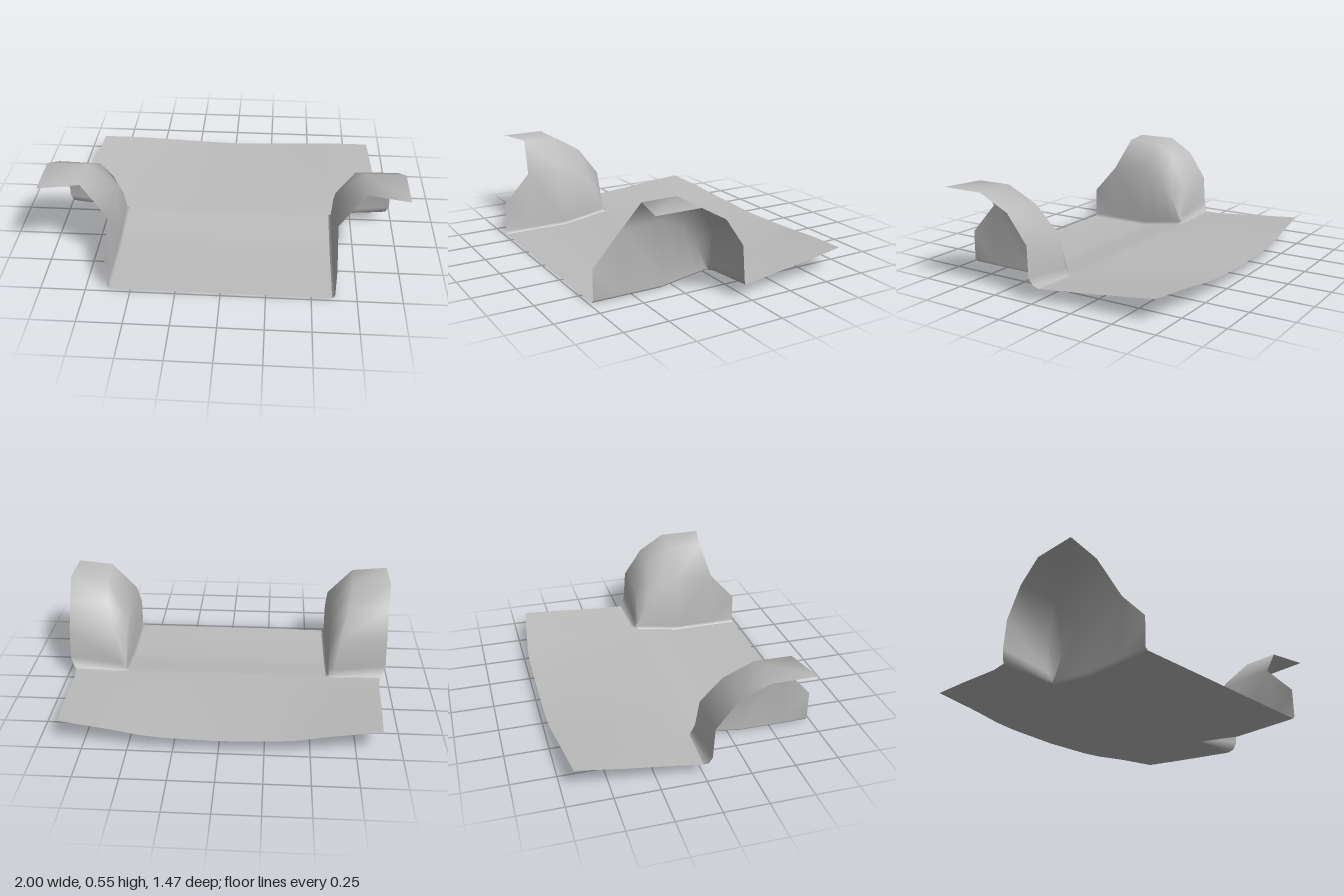
import * as THREE from 'three';
import { mergeGeometries, mergeVertices } from 'three/addons/utils/BufferGeometryUtils.js';

// Grid surface through rows of [x, y, z] points; side = -1 mirrors it in x.
function sheet(rows, side = 1) {
  const n = rows[0].length;
  const index = [];
  for (let r = 0; r < rows.length - 1; r++) {
    for (let c = 0; c < n - 1; c++) {
      const a = r * n + c, b = a + 1, d = a + n, e = d + 1;
      if (side > 0) index.push(a, b, d, b, e, d);
      else index.push(a, d, b, b, d, e);
    }
  }
  const points = rows.flat().flatMap(([x, y, z]) => [x * side, y, z]);
  const geometry = new THREE.BufferGeometry();
  geometry.setAttribute('position', new THREE.Float32BufferAttribute(points, 3));
  geometry.setIndex(index);
  return geometry;
}

// Welds sheets together and smooths across their seams.
function smooth(sheets) {
  const geometry = mergeVertices(mergeGeometries(sheets));
  geometry.computeVertexNormals();
  return geometry;
}

// Full-width row from its right half, listed from the centre outwards.
const fullRow = (half) => [
  ...half.slice(1).reverse().map(([x, y, z]) => [-x, y, z]),
  ...half,
];

export function createModel() {
  const group = new THREE.Group();
  const grey = new THREE.MeshStandardMaterial({ color: 0xbcbcbc, side: THREE.DoubleSide });
  grey.name = 'plain grey';

  const add = (name, geometry) => {
    const mesh = new THREE.Mesh(geometry, grey);
    mesh.name = name;
    group.add(mesh);
  };

  // Floor: flat between the arches, then a ramp and a dished rear panel
  const frontRows = [[0.73, 0], [0.57, 0], [0.32, 0], [0.2, 0.019], [0.11, 0.033], [0.05, 0.042]]
    .map(([z, y]) => [0, 0.3, 0.48, 0.615, 0.615, 0.615].map((x) => [x, y, z]));
  const rearRows = [
    [[0, 0.045, 0.03], [0.3, 0.045, 0.03], [0.48, 0.045, 0.03], [0.615, 0.045, 0.03], [0.66, 0.05, 0.012], [0.94, 0.065, 0]],
    [[0, 0.047, -0.03], [0.3, 0.047, -0.03], [0.48, 0.048, -0.03], [0.615, 0.05, -0.03], [0.66, 0.051, -0.03], [0.938, 0.066, -0.03]],
    [[0, 0.05, -0.1], [0.3, 0.052, -0.1], [0.48, 0.055, -0.1], [0.615, 0.058, -0.1], [0.66, 0.06, -0.1], [0.925, 0.07, -0.1]],
    [[0, 0.06, -0.42], [0.3, 0.066, -0.42], [0.48, 0.074, -0.42], [0.615, 0.084, -0.42], [0.66, 0.087, -0.42], [0.91, 0.102, -0.41]],
    [[0, 0.072, -0.735], [0.3, 0.081, -0.735], [0.43, 0.09, -0.73], [0.615, 0.11, -0.71], [0.66, 0.114, -0.706], [0.89, 0.13, -0.68]],
  ];
  const joinRow = rearRows[0].slice(0, 4);
  add('floor', smooth([
    sheet([...frontRows.map((row) => row.slice(0, 4)), joinRow].map(fullRow)),
    sheet(rearRows.map(fullRow)),
  ]));

  // Wheel arch stations, front to back: wall top, shoulder, outer edge
  const arch = [
    [[0.63, 0.37, 0.565], [0.775, 0.55, 0.525], [1, 0.55, 0.575]],
    [[0.63, 0.38, 0.32], [0.77, 0.55, 0.32], [1, 0.55, 0.32]],
    [[0.63, 0.33, 0.2], [0.74, 0.455, 0.16], [0.98, 0.46, 0.16]],
    [[0.63, 0.22, 0.11], [0.695, 0.295, 0.05], [0.97, 0.3, 0.045]],
    [[0.63, 0.1, 0.05], [0.665, 0.09, 0.035], [0.975, 0.13, 0.035]],
    [[0.63, 0.055, 0.03], [0.66, 0.06, 0.028], [0.96, 0.085, 0.02]],
    [[0.615, 0.045, 0.03], [0.66, 0.05, 0.012], [0.94, 0.065, 0]],
  ];

  // Inner wall stations: floor edge, top of the fillet, wall top
  const wallTops = [[0.63, 0.19, 0.73], ...arch.slice(0, 6).map((row) => row[0])];
  const wallFloor = [[0.73, 0], [0.57, 0], [0.32, 0], [0.2, 0.019], [0.11, 0.033], [0.05, 0.042], [0.03, 0.045]];
  const wall = wallFloor.map(([z, y], i) => [
    [0.615, y, z],
    [0.63, Math.min(y + 0.016, wallTops[i][1] - 0.002), z],
    wallTops[i],
  ]);

  for (const [name, side] of [['left', 1], ['right', -1]]) {
    add(`${name}WheelArch`, smooth([sheet(wall, side), sheet(arch, side)]));
  }
  return group;
}
